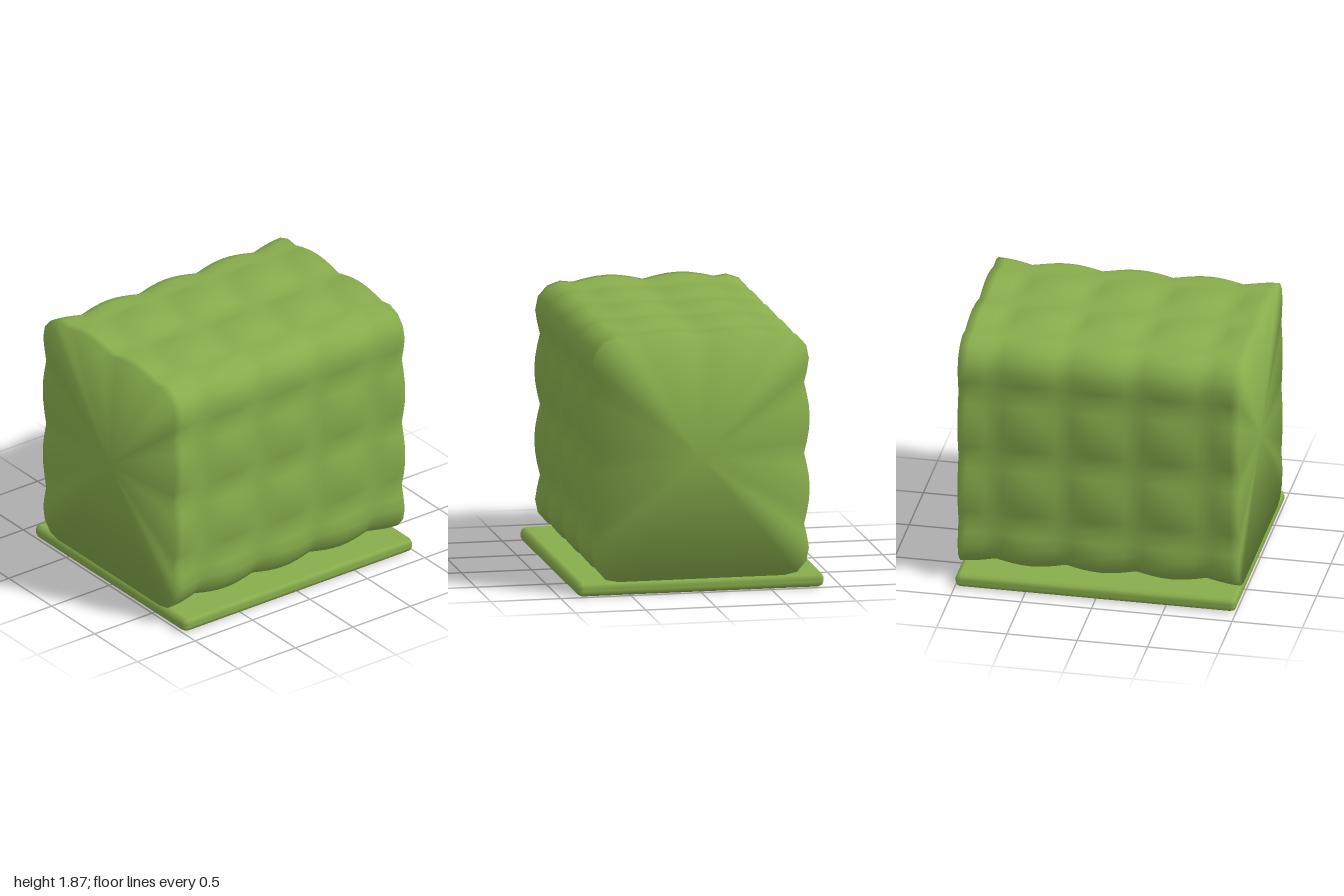
import * as THREE from 'three';
import { RoundedBoxGeometry } from 'three/addons/geometries/RoundedBoxGeometry.js';

const COLS = 32;   // steps along x
const RING = 72;   // steps around the section
const TUFTS = 12;  // bumps around the section

// Rounded section in (z, y), starting at the top middle and running over the front.
function sectionPoints() {
  const w = 0.732, top = 1.825, bottom = 0.1, r = 0.2;
  const p = new THREE.Path();
  p.moveTo(0, top);
  p.lineTo(w - r, top);
  p.absarc(w - r, top - r, r, Math.PI / 2, 0, true);
  p.lineTo(w, bottom + r);
  p.absarc(w - r, bottom + r, r, 0, -Math.PI / 2, true);
  p.lineTo(-w + r, bottom);
  p.absarc(-w + r, bottom + r, r, -Math.PI / 2, -Math.PI, true);
  p.lineTo(-w, top - r);
  p.absarc(-w + r, top - r, r, Math.PI, Math.PI / 2, true);
  p.lineTo(0, top);
  return p.getSpacedPoints(RING).slice(0, RING);
}

// Section swept along x, swollen into a grid of soft bumps and closed by fans.
function quiltedBlock() {
  const pts = sectionPoints();
  const pos = [], idx = [];
  for (let i = 0; i <= COLS; i++) {
    const x = -1 + (2 * i) / COLS;
    pts.forEach((p, j) => {
      const t = pts[(j + 1) % RING].clone().sub(pts[(j + RING - 1) % RING]).normalize();
      const swell = 0.04 * Math.abs(Math.cos(2 * Math.PI * x) * Math.sin((Math.PI * TUFTS * j) / RING));
      pos.push(x, Math.max(0.1, p.y + t.x * swell), p.x - t.y * swell);
    });
  }
  const endL = pos.length / 3, endR = endL + 1;
  pos.push(-1, 0.96, 0, 1, 0.96, 0);
  for (let j = 0; j < RING; j++) {
    const k = (j + 1) % RING, last = COLS * RING;
    for (let i = 0; i < COLS; i++) {
      const a = i * RING + j, b = i * RING + k;
      idx.push(a, b, a + RING, b, b + RING, a + RING);
    }
    idx.push(endL, k, j, endR, last + j, last + k);
  }
  const g = new THREE.BufferGeometry();
  g.setAttribute('position', new THREE.Float32BufferAttribute(pos, 3));
  g.setIndex(idx);
  g.computeVertexNormals();

  // Soften the rims so the ends blend into the sides.
  const n = g.attributes.normal, v = new THREE.Vector3();
  for (const [rim, inner, side] of [[0, 1, -1], [COLS, COLS - 1, 1]]) {
    for (let j = 0; j < RING; j++) {
      v.fromBufferAttribute(n, inner * RING + j);
      v.x = side * 0.9;
      v.normalize();
      n.setXYZ(rim * RING + j, v.x, v.y, v.z);
    }
  }
  return g;
}

export function createModel() {
  const model = new THREE.Group();
  const green = new THREE.MeshStandardMaterial({ color: 0x88ad4c });
  green.name = 'leaf green';

  // Thin slab with bevelled edges
  const base = new THREE.Mesh(new RoundedBoxGeometry(2, 0.1, 1.76, 1, 0.04), green);
  base.name = 'basePlate';
  base.position.y = 0.05;
  model.add(base);

  // Bumpy block standing on the slab
  const hedge = new THREE.Mesh(quiltedBlock(), green);
  hedge.name = 'hedgeBody';
  model.add(hedge);

  return model;
}
